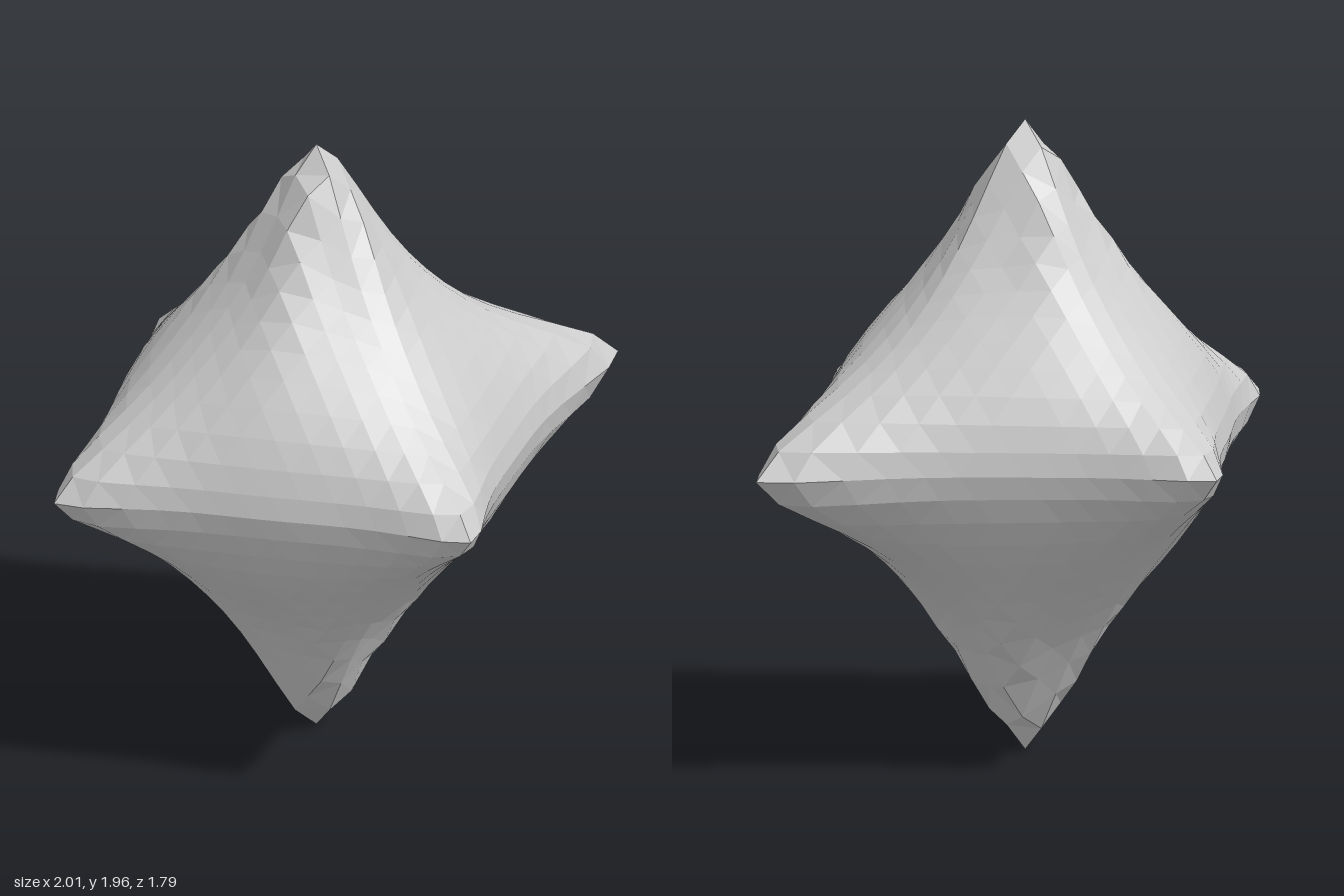
import * as THREE from 'three';

// Spike directions and their lengths from the core
const SPIKES = [
  [1, 0, 0, 1.07], [-1, 0, 0, 0.93],
  [0, 1, 0, 0.97], [0, -1, 0, 0.98],
  [0, 0, 1, 0.89], [0, 0, -1, 0.89],
].map(([x, y, z, length]) => ({ dir: new THREE.Vector3(x, y, z), length }));

const CORE = 0.53;      // radius of the body between spikes
const FALLOFF = 15;     // degrees over which a spike fades into the body
const TIP = 3;          // degrees of rounding at each tip

// Distance from the centre to the surface along a unit direction
function radius(d) {
  const ax = Math.abs(d.x), ay = Math.abs(d.y), az = Math.abs(d.z);
  // a ridge around the middle joins the four sideways spikes
  let r = CORE + ax * az * (0.09 - 0.15 * ay);
  for (const { dir, length } of SPIKES) {
    let angle = THREE.MathUtils.radToDeg(d.angleTo(dir));
    // upper and lower spikes are five-sided, the lower one turned by 36 degrees
    if (dir.y) angle *= 1.02 - 0.1 * dir.y * Math.cos(5 * Math.atan2(d.z, d.x));
    r += (length - CORE) * Math.exp((TIP - Math.hypot(angle, TIP)) / FALLOFF);
  }
  return r;
}

export function createModel() {
  const group = new THREE.Group();
  group.name = 'spikedStar';

  // Subdivided octahedron: its corners land exactly on the six tips
  const geometry = new THREE.OctahedronGeometry(1, 12);
  const position = geometry.attributes.position;
  const v = new THREE.Vector3();
  for (let i = 0; i < position.count; i++) {
    v.fromBufferAttribute(position, i).normalize();
    v.multiplyScalar(radius(v));
    position.setXYZ(i, v.x, v.y, v.z);
  }
  geometry.computeVertexNormals();

  const body = new THREE.Mesh(
    geometry,
    new THREE.MeshStandardMaterial({ color: 0xcccccc, flatShading: true }),
  );
  body.name = 'sixPointedBody';
  body.position.set(-0.07, 0.98, 0);
  group.add(body);
  return group;
}
